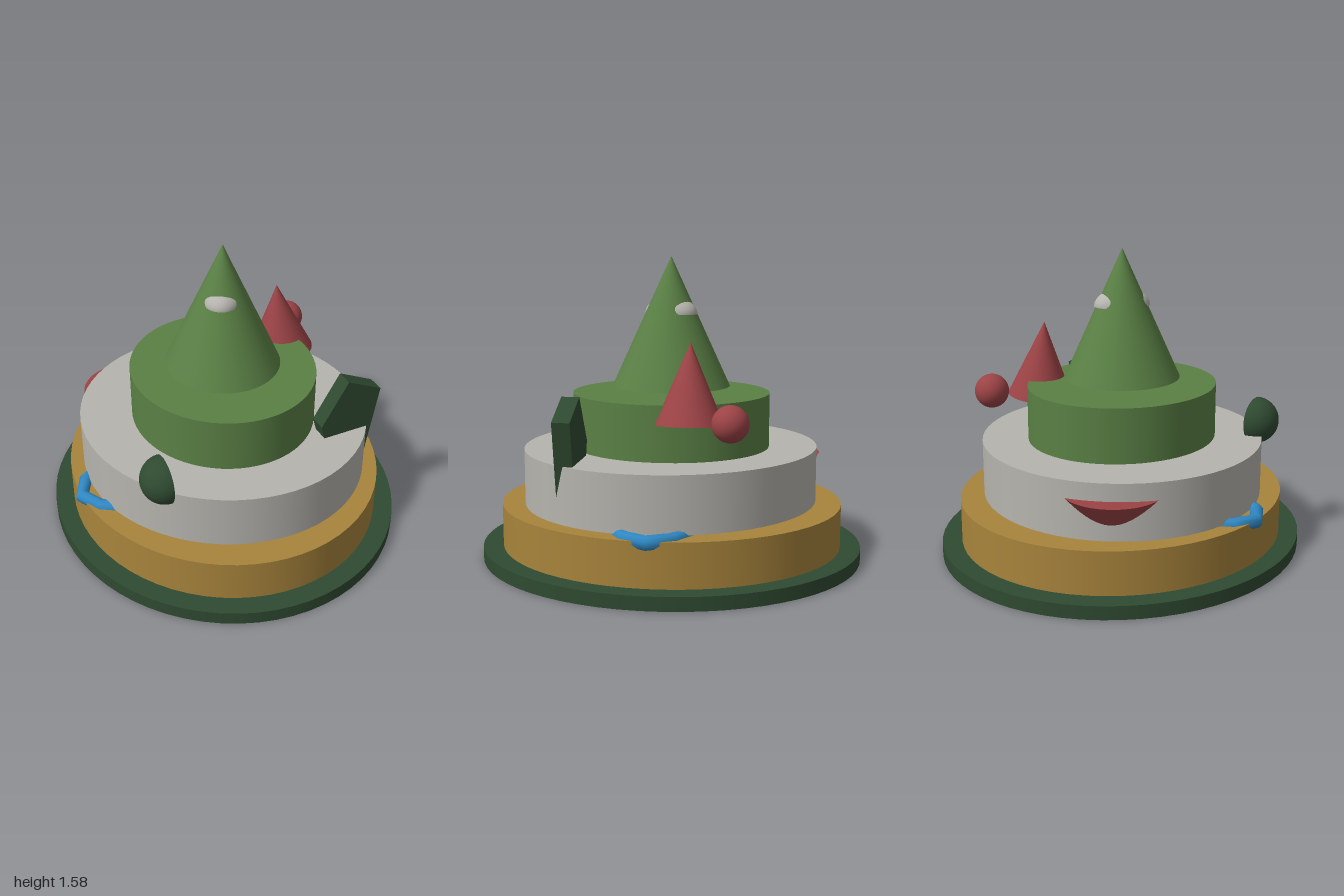
import * as THREE from 'three';

export function createModel() {
  const model = new THREE.Group();
  model.name = 'tieredOrnament';

  const mat = (name, color, side = THREE.FrontSide) => {
    const m = new THREE.MeshStandardMaterial({ color, side });
    m.name = name;
    return m;
  };
  const darkGreen = mat('darkGreen', 0x2f4a31, THREE.DoubleSide);
  const gold = mat('gold', 0xa8843c);
  const grey = mat('warmGrey', 0xb6b4ae, THREE.DoubleSide);
  const green = mat('leafGreen', 0x5a8045);
  const red = mat('red', 0x9c4346);
  const blue = mat('blue', 0x2f88c4);

  const add = (name, geometry, material, x = 0, y = 0, z = 0) => {
    const mesh = new THREE.Mesh(geometry, material);
    mesh.name = name;
    mesh.position.set(x, y, z);
    model.add(mesh);
    return mesh;
  };

  // Oval tiers, stacked from the ground up
  const tier = (name, material, rx, rz, y0, y1, turn = 0) => {
    const g = new THREE.CylinderGeometry(1, 1, y1 - y0, 64);
    g.scale(rx, 1, rz);
    add(name, g, material, 0, (y0 + y1) / 2, 0).rotation.y = turn;
  };
  tier('basePlate', darkGreen, 0.925, 1, 0, 0.07);
  tier('lowerTier', gold, 0.825, 0.895, 0.07, 0.295);
  tier('middleTier', grey, 0.735, 0.774, 0.302, 0.59, 0.6);
  tier('upperTier', green, 0.48, 0.515, 0.59, 0.872);

  // Pointed top, floating just above the upper tier
  const spire = new THREE.ConeGeometry(1, 0.67, 64);
  spire.scale(0.298, 1, 0.307);
  add('spire', spire, green, 0, 1.24, 0);

  // Oval cap whose long ends break through the spire
  const cap = new THREE.SphereGeometry(1, 40, 12, 0, Math.PI * 2, 0, Math.PI / 2);
  cap.scale(0.15, 0.09, 0.108);
  add('spireCap', cap, grey, 0, 1.28, 0).rotation.y = 1.05;

  // Leaning red cone and ball
  const cone = add('redCone', new THREE.ConeGeometry(0.17, 0.4, 48), red, 0.415, 0.972, -0.158);
  cone.rotation.z = 0.1;
  add('redBall', new THREE.SphereGeometry(0.09, 32, 20), red, 0.584, 0.81, -0.373);

  // Upturned cone set into the back of the middle tier
  const sunk = add('sunkenCone', new THREE.ConeGeometry(0.25, 0.3, 48), red, -0.34, 0.35, -0.52);
  sunk.rotation.x = Math.PI;

  // Half shell hanging at the right side
  const shell = new THREE.SphereGeometry(0.124, 32, 12, 0, Math.PI * 2, 0, Math.PI / 2);
  shell.rotateZ(Math.PI / 2);
  add('halfShell', shell, darkGreen, -0.537, 0.65, 0.47);

  // Five-sided slab cutting into the tiers
  const outline = [[0.485, 0.905], [0.34, 0.665], [0.445, 0.285], [0.605, 0.39], [0.68, 0.81]];
  const slab = new THREE.ExtrudeGeometry(
    new THREE.Shape(outline.map(([x, y]) => new THREE.Vector2(x, y))),
    { depth: 0.09, bevelEnabled: false });
  add('slab', slab, darkGreen, 0, 0, 0.375);

  // Oval hoop between the tiers, showing as a handle on each side
  const points = [];
  for (let i = 0; i < 32; i++) {
    const a = (i / 32) * Math.PI * 2;
    points.push(new THREE.Vector3(0.82 * Math.cos(a), 0, 0.305 * Math.sin(a)));
  }
  const hoop = new THREE.TubeGeometry(new THREE.CatmullRomCurve3(points, true), 28, 0.037, 10, true);
  add('hoop', hoop, blue, 0, 0.288, 0).rotation.y = 0.015;

  return model;
}
